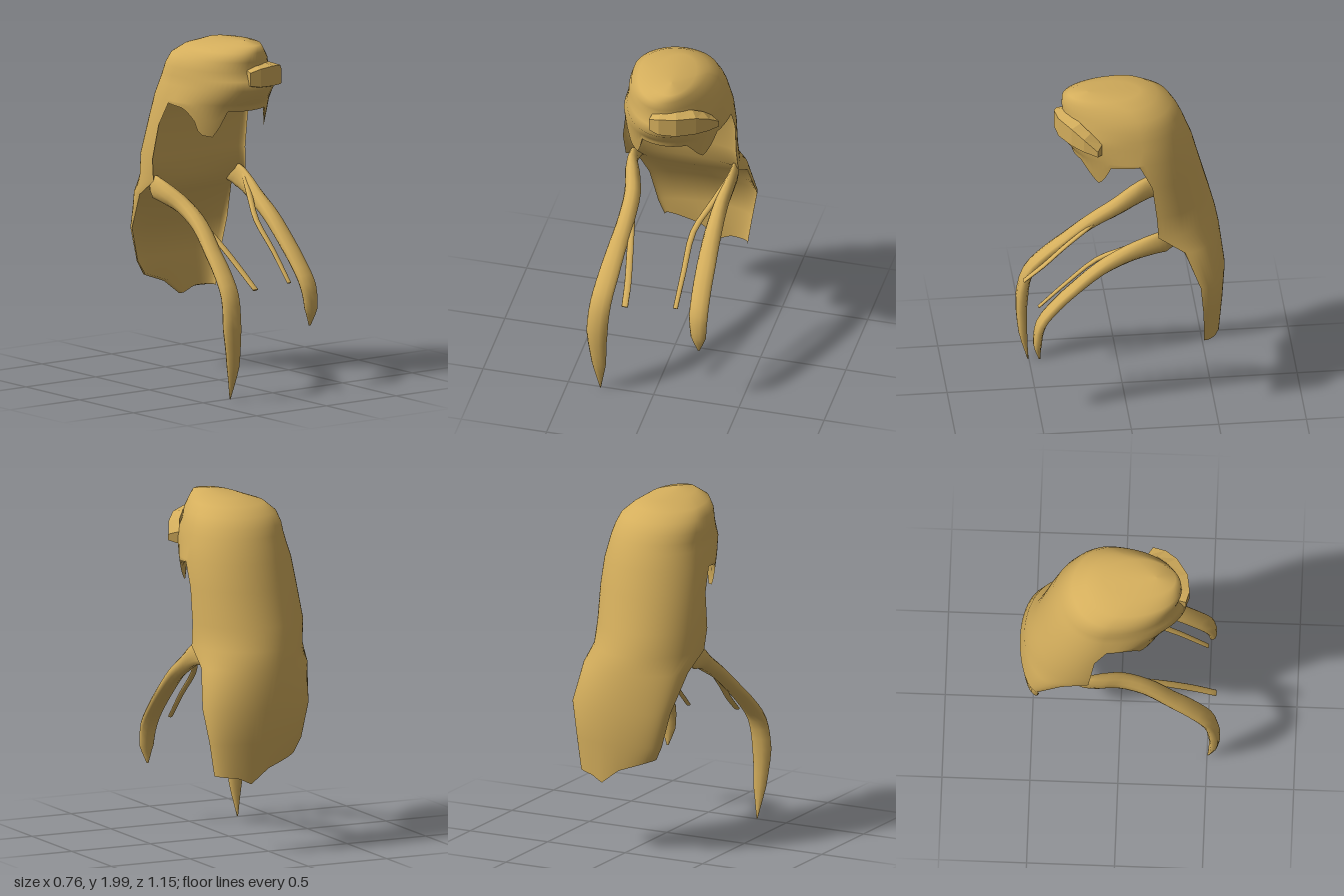
import * as THREE from 'three';

const hair = new THREE.MeshStandardMaterial({ color: 0xd4ae5c, side: THREE.DoubleSide });
hair.name = 'blonde hair';

function makeMesh(name, points, indices) {
  const geo = new THREE.BufferGeometry();
  geo.setAttribute('position', new THREE.Float32BufferAttribute(points, 3));
  geo.setIndex(indices);
  geo.computeVertexNormals();
  const mesh = new THREE.Mesh(geo, hair);
  mesh.name = name;
  return mesh;
}

// Piecewise-linear lookup in a list of [input, output] pairs
function lookup(table, v) {
  if (v <= table[0][0]) return table[0][1];
  for (let i = 1; i < table.length; i++) {
    const [a, ya] = table[i - 1], [b, yb] = table[i];
    if (v <= b) return ya + (yb - ya) * (v - a) / (b - a);
  }
  return table[table.length - 1][1];
}

// Cross-sections: y, xLow, xHigh, side z at xLow, side z at xHigh, front z, back z
const crown = [
  [1.998, 0.03, 0.03, 0.2, 0.2, 0.2, 0.2],
  [1.985, -0.09, 0.14, 0.1, 0.1, 0.31, -0.1],
  [1.95, -0.2, 0.19, 0, 0, 0.342, -0.2],
  [1.9, -0.25, 0.24, -0.05, -0.05, 0.345, -0.28],
  [1.84, -0.27, 0.265, -0.07, -0.07, 0.335, -0.32],
  [1.79, -0.275, 0.28, -0.08, -0.08, 0.36, -0.345],
  [1.74, -0.285, 0.29, -0.09, -0.09, 0.38, -0.365],
  [1.65, -0.31, 0.31, -0.1, -0.1, 0.3, -0.4],
];
const curtain = [
  [1.5, -0.325, 0.315, -0.14, -0.14, 0, -0.44],
  [1.3, -0.35, 0.315, -0.165, -0.165, 0, -0.495],
  [1.17, -0.335, 0.325, -0.175, -0.175, 0, -0.53],
  [1.07, -0.315, 0.34, -0.33, -0.325, 0, -0.55],
  [0.85, -0.27, 0.375, -0.46, -0.41, 0, -0.577],
  [0.65, -0.22, 0.34, -0.47, -0.43, 0, -0.563],
  [0, -0.18, 0.312, -0.46, -0.435, 0, -0.542],
];
// Inner wall z behind the neck, from the lowest crown section down
const innerBack = [-0.14, -0.2, -0.225, -0.245, -0.3, -0.5, -0.525, -0.5];
// Fringe hem by angle from the front, curtain hem by x
const fringeHem = [[-90, 1.64], [-68, 1.62], [-56, 1.56], [-48, 1.47], [-32, 1.455], [-27, 1.61],
  [27, 1.61], [32, 1.54], [41, 1.48], [52, 1.55], [60, 1.62], [90, 1.64]];
const curtainHem = [[-0.18, 0.57], [0.02, 0.5], [0.13, 0.415], [0.2, 0.45], [0.31, 0.46]];

const cols = 72, quarter = cols / 4, last = crown.length - 1;
const isFront = j => j < quarter || j > cols - quarter;

function sectionPoint([y, x0, x1, z0, z1, front, back], j) {
  const angle = j / cols * Math.PI * 2, s = Math.sin(angle), c = Math.cos(angle);
  const side = z0 + (z1 - z0) * (s + 1) / 2;
  return [(x0 + x1) / 2 + (x1 - x0) / 2 * s, y, side + c * (c > 0 ? front - side : side - back)];
}

// Fringe point, f running from the crown (0) to the hem (1)
function fringePoint(j, f) {
  const p = sectionPoint(crown[last], j);
  const drop = 1.65 - lookup(fringeHem, (j > cols / 2 ? j - cols : j) / cols * 360);
  return [p[0], p[1] - drop * f, p[2] - drop * f * 0.3];
}

function curtainPoint(row, j) {
  const p = sectionPoint(row, j);
  if (row === curtain[curtain.length - 1]) p[1] = lookup(curtainHem, p[0]);
  return p;
}

// Joins rings of points; below row `split` only the back columns continue
function joinRings(name, rings, split, frontEnd) {
  const indices = [];
  for (let i = 0; i < rings.length - 1; i++) {
    for (let j = 0; j < cols; j++) {
      const k = (j + 1) % cols;
      if (i >= frontEnd && isFront(j)) continue;
      if (i > split && isFront(j) !== isFront(k)) continue;
      const a = i * cols + j, b = i * cols + k, c = a + cols, d = b + cols;
      indices.push(a, c, b, b, c, d);
    }
  }
  return makeMesh(name, rings.flat(2), indices);
}

const ring = fn => Array.from({ length: cols }, (_, j) => fn(j));

// Crown, fringe and back curtain
function buildShell() {
  const rings = crown.map(row => ring(j => sectionPoint(row, j)));
  curtain.forEach((row, i) => {
    rings.push(ring(j => isFront(j) ? fringePoint(j, Math.min(1, (i + 1) / 2)) : curtainPoint(row, j)));
  });
  return joinRings('hairShell', rings, last, last + 2);
}

// Underside: hollow over the face, neck wall and inner side of the curtain
function buildLining() {
  const inner = [crown[last], ...curtain].map((row, i) =>
    ring(j => isFront(j) ? fringePoint(j, 1) : curtainPoint([...row.slice(0, 6), innerBack[i]], j)));
  // Keep the inner hem level with the outer one
  inner[inner.length - 1] = ring(j => {
    const row = curtain[curtain.length - 1];
    const p = sectionPoint([...row.slice(0, 6), innerBack[innerBack.length - 1]], j);
    return isFront(j) ? fringePoint(j, 1) : [p[0], lookup(curtainHem, p[0]) + 0.01, p[2]];
  });
  const outerHem = ring(j => isFront(j) ? fringePoint(j, 1) : curtainPoint(curtain[curtain.length - 1], j));
  const roof = [0, 0.45, 0.85].map(f => ring(j => {
    const p = isFront(j) ? sectionPoint(crown[last], j) : inner[0][j];
    return [p[0] * f, 1.665 - 0.015 * f * f, p[2] * f + 0.05 * (1 - f)];
  }));
  return joinRings('lining', [...roof, ...inner, outerHem], roof.length - 1, roof.length);
}

// Strand with oval sections; stations are x, y, z, half width, half thickness
function buildStrand(name, stations) {
  const sides = 10, steps = (stations.length - 1) * 3;
  const path = new THREE.CatmullRomCurve3(stations.map(s => new THREE.Vector3(s[0], s[1], s[2])));
  const points = [], indices = [];
  for (let i = 0; i <= steps; i++) {
    const t = i / steps, u = t * (stations.length - 1);
    const p = path.getPoint(t), dir = path.getTangent(t);
    const across = new THREE.Vector3(1, 0, 0);
    const normal = new THREE.Vector3().crossVectors(dir, across).normalize();
    const w = lookup(stations.map((s, n) => [n, s[3]]), u);
    const h = lookup(stations.map((s, n) => [n, s[4]]), u);
    for (let j = 0; j < sides; j++) {
      const a = j / sides * Math.PI * 2;
      const q = p.clone().addScaledVector(across, Math.cos(a) * w).addScaledVector(normal, Math.sin(a) * h);
      points.push(q.x, q.y, q.z);
      if (i < steps) {
        const k = (j + 1) % sides, m = i * sides;
        indices.push(m + j, m + k, m + j + sides, m + k, m + k + sides, m + j + sides);
      }
    }
  }
  for (const [m, flip] of [[0, false], [steps * sides, true]]) {
    for (let j = 1; j < sides - 1; j++) {
      indices.push(m, m + (flip ? j : j + 1), m + (flip ? j + 1 : j));
    }
  }
  return makeMesh(name, points, indices);
}

// Raised swept lock over the brow; stations are x, z, top y, bottom y
function buildBrowLock() {
  const stations = [[-0.06, 0.37, 1.86, 1.77], [0.0, 0.39, 1.88, 1.76], [0.1, 0.375, 1.885, 1.755],
    [0.2, 0.31, 1.87, 1.745], [0.26, 0.245, 1.83, 1.735], [0.3, 0.17, 1.77, 1.72]];
  const points = [], indices = [], s = 0.82;
  stations.forEach(([x, z, top, bottom], i) => {
    points.push(x, top - 0.015, z, x, bottom, z, x * s, bottom - 0.02, z * s, x * s, top, z * s);
    if (i === 0) return;
    for (let j = 0; j < 4; j++) {
      const k = (j + 1) % 4, a = (i - 1) * 4;
      indices.push(a + j, a + k, a + 4 + j, a + k, a + 4 + k, a + 4 + j);
    }
  });
  const e = (stations.length - 1) * 4;
  indices.push(0, 2, 1, 0, 3, 2, e, e + 1, e + 2, e, e + 2, e + 3);
  const mesh = makeMesh('browLock', points, indices);
  mesh.geometry = mesh.geometry.toNonIndexed();
  mesh.geometry.computeVertexNormals();
  return mesh;
}

export function createModel() {
  const group = new THREE.Group();
  group.name = 'hairstyle';
  group.add(buildShell(), buildLining(), buildBrowLock());

  // Long front locks
  group.add(buildStrand('rightLock', [
    [-0.265, 1.13, -0.3, 0.012, 0.03], [-0.298, 1.13, -0.21, 0.025, 0.07], [-0.28, 1.095, -0.11, 0.045, 0.06],
    [-0.25, 1.04, 0.0, 0.048, 0.05], [-0.25, 0.95, 0.15, 0.05, 0.04], [-0.275, 0.82, 0.3, 0.055, 0.032],
    [-0.29, 0.73, 0.4, 0.06, 0.03], [-0.31, 0.6, 0.505, 0.062, 0.032], [-0.322, 0.42, 0.54, 0.062, 0.036],
    [-0.312, 0.2, 0.535, 0.042, 0.026], [-0.31, 0.01, 0.505, 0.003, 0.003]]));
  group.add(buildStrand('leftLock', [
    [0.275, 1.13, -0.3, 0.012, 0.03], [0.295, 1.13, -0.21, 0.022, 0.07], [0.286, 1.095, -0.11, 0.032, 0.06],
    [0.268, 1.04, 0.0, 0.042, 0.05], [0.26, 0.95, 0.15, 0.05, 0.04], [0.257, 0.82, 0.3, 0.055, 0.032],
    [0.257, 0.72, 0.4, 0.055, 0.03], [0.26, 0.6, 0.49, 0.055, 0.03], [0.265, 0.47, 0.512, 0.045, 0.025],
    [0.265, 0.37, 0.5, 0.006, 0.005]]));

  // Thin loose wisps
  group.add(buildStrand('rightWisp', [
    [-0.215, 0.95, 0.14, 0.015, 0.012], [-0.19, 0.83, 0.3, 0.02, 0.01], [-0.168, 0.72, 0.43, 0.02, 0.01],
    [-0.158, 0.63, 0.545, 0.019, 0.008]]));
  group.add(buildStrand('leftWisp', [
    [0.295, 1.16, -0.16, 0.015, 0.015], [0.22, 1.05, 0.0, 0.02, 0.013], [0.145, 0.94, 0.16, 0.018, 0.012],
    [0.135, 0.79, 0.33, 0.016, 0.01], [0.125, 0.63, 0.49, 0.014, 0.008]]));
  return group;
}
